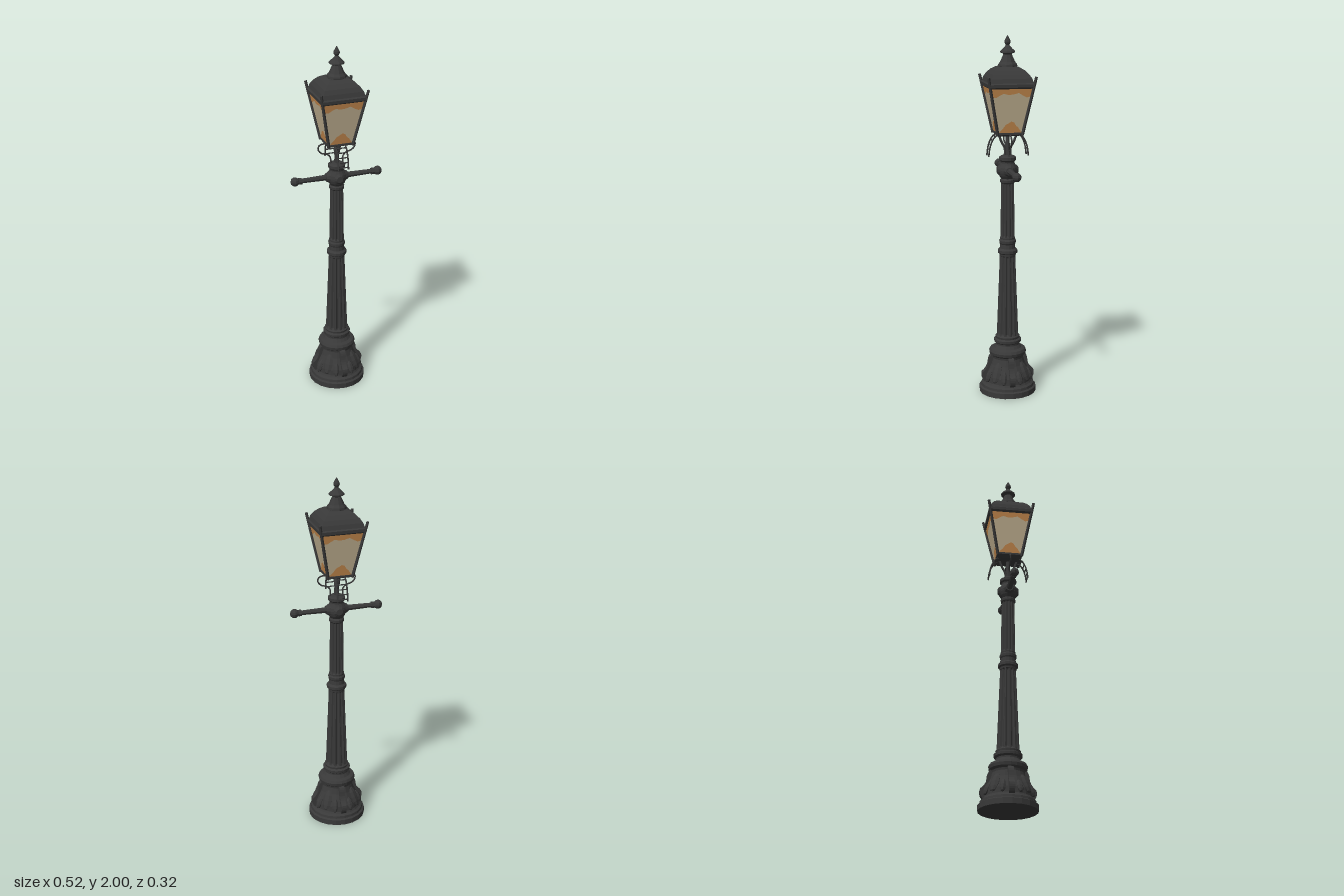
import * as THREE from 'three';

const iron = new THREE.MeshStandardMaterial({ color: 0x393939, flatShading: true });
iron.name = 'dark iron';
const glass = new THREE.MeshStandardMaterial({ color: 0xc2b292, side: THREE.DoubleSide });
glass.name = 'pale glass';
const amber = new THREE.MeshStandardMaterial({ color: 0xc68a4e, side: THREE.DoubleSide });
amber.name = 'amber glass';

const V = (x, y, z) => new THREE.Vector3(x, y, z);

function add(parent, name, geometry, material = iron) {
  const mesh = new THREE.Mesh(geometry, material);
  mesh.name = name;
  parent.add(mesh);
  return mesh;
}

// Turned part from [radius, height] pairs listed bottom to top
function lathe(points, segments, start = 0) {
  return new THREE.LatheGeometry(points.map(p => new THREE.Vector2(p[0], p[1])), segments, start);
}

// Four-sided part from [half width, height] pairs
const square = points => lathe(points.map(([w, y]) => [w * Math.SQRT2, y]), 4, Math.PI / 4);

// Straight bar between two points
function bar(parent, name, a, b, r0, r1 = r0, sides = 8) {
  const d = b.clone().sub(a);
  const mesh = add(parent, name, new THREE.CylinderGeometry(r1, r0, d.length(), sides));
  mesh.position.copy(a).addScaledVector(d, 0.5);
  mesh.quaternion.setFromUnitVectors(V(0, 1, 0), d.normalize());
  return mesh;
}

function tube(parent, name, points, r) {
  return add(parent, name, new THREE.TubeGeometry(new THREE.CatmullRomCurve3(points), 14, r, 5));
}

// Column with alternate columns of vertices pulled in to form grooves
function fluted(y0, r0, y1, r1) {
  const g = lathe([[r0, y0], [r0, y0 + 0.015], [r1, y1 - 0.015], [r1, y1]], 48);
  const p = g.attributes.position;
  for (let i = 0; i < p.count; i++) {
    const column = Math.floor(i / 4), row = i % 4;
    if ((row === 1 || row === 2) && column % 4 > 1) {
      p.setX(i, p.getX(i) * 0.85);
      p.setZ(i, p.getZ(i) * 0.85);
    }
  }
  return g;
}

function buildBase() {
  const base = new THREE.Group();
  base.name = 'base';
  add(base, 'plinth', lathe([[0, 0], [0.16, 0], [0.16, 0.03], [0.15, 0.036], [0.148, 0.05],
    [0.136, 0.058], [0.13, 0.068], [0.128, 0.1], [0.115, 0.13], [0.098, 0.165], [0.088, 0.2],
    [0.09, 0.212], [0.102, 0.222], [0.105, 0.238], [0.098, 0.252], [0.078, 0.258], [0.066, 0.275],
    [0.066, 0.284], [0.076, 0.292], [0.077, 0.306], [0.066, 0.313], [0.068, 0.324], [0.058, 0.333]], 20));

  // Scroll ribs on the four axes, leaves and buds between them
  const rib = new THREE.Shape();
  rib.moveTo(0.07, 0.06);
  rib.lineTo(0.135, 0.06);
  rib.quadraticCurveTo(0.156, 0.085, 0.147, 0.115);
  rib.quadraticCurveTo(0.115, 0.14, 0.112, 0.175);
  rib.quadraticCurveTo(0.11, 0.21, 0.09, 0.22);
  rib.lineTo(0.07, 0.22);
  const ribGeo = new THREE.ExtrudeGeometry(rib, { depth: 0.03, bevelEnabled: false, curveSegments: 5 });
  ribGeo.translate(0, 0, -0.015);
  for (let i = 0; i < 4; i++) {
    const side = new THREE.Group();
    side.name = 'baseOrnament';
    side.rotation.y = i * Math.PI / 2;
    add(side, 'scrollRib', ribGeo);
    for (const k of [-1, 0, 1]) {
      const holder = new THREE.Group();
      holder.name = 'leafHolder';
      holder.rotation.y = Math.PI / 4 + k * 0.42;
      const leaf = add(holder, 'leaf', new THREE.SphereGeometry(1, 7, 6));
      leaf.scale.set(0.016, k ? 0.04 : 0.06, k ? 0.018 : 0.03);
      leaf.position.set(k ? 0.122 : 0.112, k ? 0.105 : 0.13, 0);
      leaf.rotation.z = 0.42;
      side.add(holder);
    }
    base.add(side);
  }
  return base;
}

function buildPost() {
  const post = new THREE.Group();
  post.name = 'post';
  add(post, 'lowerShaft', fluted(0.325, 0.061, 0.795, 0.044));
  add(post, 'middleCollar', lathe([[0.04, 0.785], [0.046, 0.79], [0.047, 0.8], [0.055, 0.807],
    [0.055, 0.822], [0.044, 0.832], [0.042, 0.855], [0.046, 0.862], [0.047, 0.876], [0.041, 0.884],
    [0.042, 0.893], [0.036, 0.9]], 16));
  add(post, 'upperShaft', fluted(0.89, 0.04, 1.21, 0.036));
  add(post, 'topCollar', lathe([[0.034, 1.195], [0.041, 1.203], [0.042, 1.216], [0.036, 1.224],
    [0.047, 1.24], [0.053, 1.257], [0.054, 1.27], [0.051, 1.286], [0.042, 1.302], [0.038, 1.31],
    [0.039, 1.318], [0.047, 1.326], [0.047, 1.342], [0.035, 1.35], [0, 1.355]], 14));

  // Ladder rest with knobbed ends, and round bosses front and back
  for (const s of [-1, 1]) {
    bar(post, 'crossbar', V(0, 1.27, 0), V(s * 0.225, 1.27, 0), 0.018, 0.013);
    bar(post, 'crossbarCollar', V(s * 0.2, 1.27, 0), V(s * 0.215, 1.27, 0), 0.019);
    bar(post, 'crossbarSocket', V(s * 0.04, 1.27, 0), V(s * 0.062, 1.27, 0), 0.034, 0.022, 10);
    const knob = add(post, 'knob', new THREE.SphereGeometry(0.025, 8, 6));
    knob.position.set(s * 0.237, 1.27, 0);
    bar(post, 'boss', V(0, 1.27, s * 0.045), V(0, 1.27, s * 0.058), 0.03, 0.018, 10);
  }
  return post;
}

function buildBrackets() {
  const brackets = new THREE.Group();
  brackets.name = 'brackets';
  bar(brackets, 'stem', V(0, 1.345, 0), V(0, 1.48, 0), 0.014, 0.011);
  for (const s of [-1, 1]) {
    // Curved arms carrying the lantern
    tube(brackets, 'arm', [V(0, 1.35, s * 0.015), V(0, 1.39, s * 0.016),
      V(0, 1.43, s * 0.036), V(0, 1.475, s * 0.052)], 0.007);
    // Side scrolls
    tube(brackets, 'scroll', [V(s * 0.035, 1.345, 0), V(s * 0.036, 1.385, 0), V(s * 0.05, 1.402, 0),
      V(s * 0.09, 1.417, 0), V(s * 0.106, 1.443, 0), V(s * 0.095, 1.463, 0), V(s * 0.06, 1.468, 0)], 0.0045);
    // Hooked ladder: two rails with rungs
    const path = x => [V(x, 1.35, s * 0.11), V(x, 1.4, s * 0.103), V(x, 1.44, s * 0.088),
      V(x, 1.462, s * 0.07), V(x, 1.47, s * 0.045)];
    for (const x of [-0.028, 0.028]) tube(brackets, 'ladderRail', path(x), 0.0045);
    const middle = new THREE.CatmullRomCurve3(path(0));
    for (const t of [0.08, 0.26, 0.44, 0.62, 0.8]) {
      const p = middle.getPointAt(t);
      bar(brackets, 'rung', V(-0.028, p.y, p.z), V(0.028, p.y, p.z), 0.0035, 0.0035, 5);
    }
  }
  return brackets;
}

// Flat pane outline; each point is [fraction of half width, fraction of height]
function pane(points, lift) {
  const half = v => 0.066 + 0.048 * v;
  const shape = new THREE.Shape(points.map(([u, v]) => new THREE.Vector2(u * half(v), v)));
  const g = new THREE.ShapeGeometry(shape);
  const p = g.attributes.position;
  for (let i = 0; i < p.count; i++) {
    const v = p.getY(i);
    p.setXYZ(i, p.getX(i), 1.478 + 0.25 * v, half(v) + lift);
  }
  g.computeVertexNormals();
  return g;
}

function buildLantern() {
  const lantern = new THREE.Group();
  lantern.name = 'lantern';
  add(lantern, 'floor', square([[0, 1.46], [0.05, 1.462], [0.072, 1.472], [0.072, 1.483], [0, 1.483]]));
  add(lantern, 'roof', square([[0, 1.722], [0.115, 1.722], [0.125, 1.73], [0.126, 1.746], [0.118, 1.752],
    [0.111, 1.775], [0.097, 1.797], [0.077, 1.817], [0.053, 1.832], [0, 1.838]]));
  add(lantern, 'finial', lathe([[0.05, 1.825], [0.054, 1.834], [0.052, 1.845], [0.041, 1.858], [0.031, 1.88],
    [0.023, 1.898], [0.028, 1.903], [0.042, 1.907], [0.041, 1.914], [0.028, 1.926], [0.016, 1.938],
    [0.009, 1.946], [0.017, 1.96], [0.016, 1.97], [0.007, 1.987], [0, 2]], 10));

  const clear = pane([[-1, 0], [1, 0], [1, 1], [-1, 1]], 0);
  const upper = pane([[-1, 1], [-1, 0.8], [-0.8, 0.79], [-0.6, 0.84], [-0.4, 0.88], [-0.15, 0.85],
    [0.1, 0.86], [0.35, 0.89], [0.6, 0.83], [0.8, 0.79], [1, 0.81], [1, 1]], 0.001);
  const lower = pane([[-1, 0], [1, 0], [0.8, 0.06], [0.6, 0.13], [0.4, 0.18], [0.25, 0.25], [0.05, 0.27],
    [-0.15, 0.23], [-0.35, 0.2], [-0.55, 0.12], [-0.8, 0.06]], 0.001);
  for (let i = 0; i < 4; i++) {
    const side = new THREE.Group();
    side.name = 'lanternSide';
    side.rotation.y = i * Math.PI / 2;
    add(side, 'pane', clear, glass);
    add(side, 'upperTint', upper, amber);
    add(side, 'lowerTint', lower, amber);
    bar(side, 'cornerPost', V(0.067, 1.468, 0.067), V(0.129, 1.785, 0.129), 0.009, 0.008, 4);
    lantern.add(side);
  }
  return lantern;
}

export function createModel() {
  const model = new THREE.Group();
  model.name = 'streetLamp';
  model.add(buildBase(), buildPost(), buildBrackets(), buildLantern());
  return model;
}
